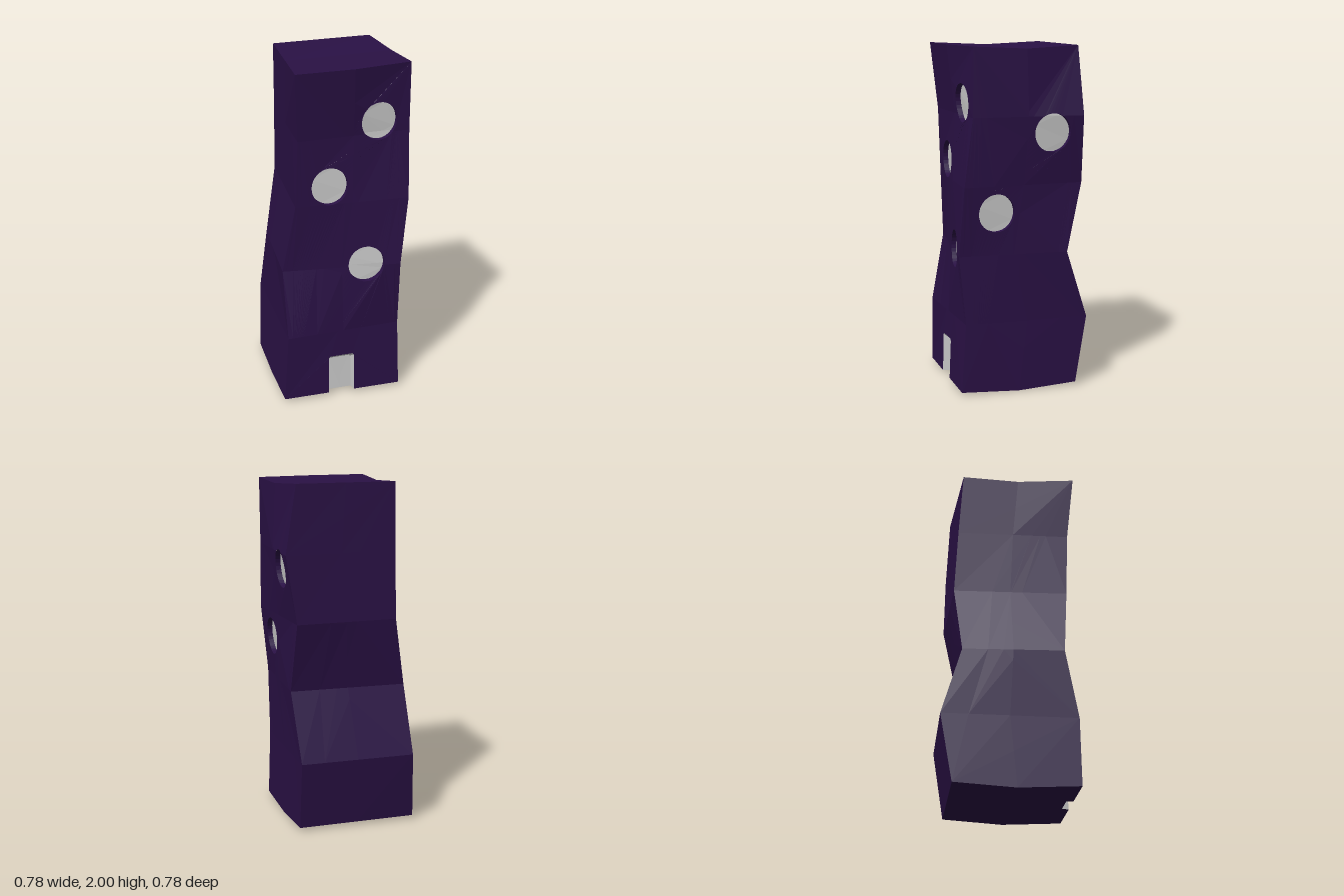
import * as THREE from 'three';

const PURPLE = 0x2a1145, GREY = 0xcccccc;

// Crooked cross-sections: height, then [x, z] of front left, front right, back right, back left as seen from the front
const LEVELS = [
  { y: 0.02, c: [[-0.39, 0.38], [0.315, 0.375], [0.315, -0.32], [-0.383, -0.32]] },
  { y: 0.42, c: [[-0.365, 0.38], [0.31, 0.347], [0.32, -0.382], [-0.355, -0.388]] },
  { y: 0.82, c: [[-0.375, 0.305], [0.308, 0.385], [0.345, -0.25], [-0.335, -0.272]] },
  { y: 1.22, c: [[-0.303, 0.335], [0.355, 0.363], [0.33, -0.338], [-0.265, -0.32]] },
  { y: 1.61, c: [[-0.29, 0.35], [0.365, 0.315], [0.39, -0.328], [-0.265, -0.3]] },
  { y: 2.0, c: [[-0.31, 0.39], [0.37, 0.31], [0.325, -0.312], [-0.27, -0.275]] },
];
const INWARD = [[0, -1], [-1, 0], [0, 1], [1, 0]];
const BULGE = [0.025, 0.012, 0, -0.01]; // how far the middle of each wall bows out at the top
const lerp = THREE.MathUtils.lerp;

// Corner k of the tower at height y
function corner(k, y) {
  let i = 0;
  while (i < LEVELS.length - 2 && y > LEVELS[i + 1].y) i++;
  const a = LEVELS[i], b = LEVELS[i + 1], t = (y - a.y) / (b.y - a.y);
  return [0, 1].map(j => lerp(a.c[k][j], b.c[k][j], t));
}

// Point on wall f: u runs 0..1 across it, depth goes into the tower
function wallPoint(f, [u, y], depth = 0) {
  const a = corner(f, y), b = corner((f + 1) % 4, y);
  const mid = 1 - Math.abs(2 * u - 1);
  const top = Math.max(0, (y - 1.61) / 0.39), bottom = Math.max(0, (0.42 - y) / 0.4);
  const push = depth - BULGE[f] * mid * top;
  const sag = f % 2 ? mid * (0.015 * top + 0.02 * bottom) : 0;
  return [lerp(a[0], b[0], u) + INWARD[f][0] * push, y - sag, lerp(a[1], b[1], u) + INWARD[f][1] * push];
}

// World x (front) or z (right side) to wall coordinates
function toWall(f, s, y) {
  const a = corner(f, y)[f % 2], b = corner((f + 1) % 4, y)[f % 2];
  return [(s - a) / (b - a), y];
}

// Counter-clockwise triangles filling a 2D outline with holes
function fill(outline, holes = []) {
  const v = p => new THREE.Vector2(p[0], p[1]);
  const all = [outline, ...holes].flat();
  return THREE.ShapeUtils.triangulateShape(outline.map(v), holes.map(h => h.map(v))).map(t => {
    const [a, b, c] = t.map(i => all[i]);
    const area = (b[0] - a[0]) * (c[1] - a[1]) - (b[1] - a[1]) * (c[0] - a[0]);
    return area < 0 ? [a, c, b] : [a, b, c];
  });
}

// Cut triangles along a line where coordinate "axis" equals value
function split(tris, axis, value) {
  const out = [];
  for (const tri of tris) for (const sign of [1, -1]) {
    const poly = [];
    tri.forEach((p, i) => {
      const q = tri[(i + 1) % 3], dp = (p[axis] - value) * sign, dq = (q[axis] - value) * sign;
      if (dp >= 0) poly.push(p);
      if (dp * dq < 0) {
        const t = dp / (dp - dq);
        poly.push([lerp(p[0], q[0], t), lerp(p[1], q[1], t)]);
      }
    });
    const flat = poly.every(p => Math.abs(p[axis] - value) < 1e-9);
    if (!flat) for (let i = 1; i < poly.length - 1; i++) out.push([poly[0], poly[i], poly[i + 1]]);
  }
  return out;
}

// Lay 2D triangles onto a wall, folded along the levels and the middle
function onWall(f, tris, depth = 0) {
  for (const l of LEVELS.slice(1, -1)) tris = split(tris, 1, l.y);
  return split(tris, 0, 0.5).map(t => t.map(p => wallPoint(f, p, depth)));
}

// Strip from an opening's rim back to an inner rim
function reveal(f, rim, inner, depth, closed) {
  const tris = [];
  for (let i = 0; i < rim.length - (closed ? 0 : 1); i++) {
    const j = (i + 1) % rim.length;
    const a = wallPoint(f, rim[i]), b = wallPoint(f, rim[j]);
    const A = wallPoint(f, inner[i], depth), B = wallPoint(f, inner[j], depth);
    tris.push([a, b, A], [b, B, A]);
  }
  return tris;
}

// Cap of 3D points seen from above (or below)
function cap(points, up) {
  const s = up ? -1 : 1;
  return fill(points.map(p => [p[0], p[2] * s, p])).map(t => t.map(p => p[2]));
}

function mesh(name, tris, color) {
  const geo = new THREE.BufferGeometry();
  geo.setAttribute('position', new THREE.Float32BufferAttribute(tris.flat(2), 3));
  geo.computeVertexNormals();
  const m = new THREE.Mesh(geo, new THREE.MeshStandardMaterial({ color, flatShading: true }));
  m.name = name;
  return m;
}

export function createModel() {
  const model = new THREE.Group();
  model.name = 'crookedTower';

  // Round windows: wall, position along the wall, height
  const windows = [[0, 0.185, 1.68], [0, -0.105, 1.325], [0, 0.11, 0.83], [1, -0.15, 1.515], [1, 0.17, 1.065]];
  const holes = [[], [], [], []];
  for (const [f, s, y] of windows) {
    const loop = [];
    for (let i = 0; i < 32; i++) {
      const a = i / 32 * Math.PI * 2;
      loop.push(toWall(f, s + Math.cos(a) * 0.105 * (f ? -1 : 1), y + Math.sin(a) * 0.11));
    }
    holes[f].push(loop);
  }

  // Doorway rim and the smaller door panel behind it
  const onFront = ([x, y]) => toWall(0, x, y);
  const rim = [[0.035, 0.02], [0.035, 0.25], [0.025, 0.26], [-0.11, 0.26], [-0.12, 0.25], [-0.12, 0.02]].map(onFront);
  const panel = [[0.025, 0.02], [0.025, 0.222], [0.015, 0.23], [-0.1, 0.23], [-0.11, 0.222], [-0.11, 0.02]].map(onFront);
  const doorDepth = 0.04;

  // Four walls with openings
  ['frontWall', 'rightWall', 'backWall', 'leftWall'].forEach((name, f) => {
    const notch = f === 0 ? [...rim].reverse() : [];
    const outline = [[0, 0.02], ...notch, [1, 0.02], [1, 2], [0, 2]];
    const tris = onWall(f, fill(outline, holes[f]));
    for (const h of holes[f]) tris.push(...reveal(f, h, h, 0.03, true));
    model.add(mesh(name, tris, PURPLE));
    for (const h of holes[f]) model.add(mesh('window', onWall(f, fill(h), 0.03), GREY));
  });

  // Door
  model.add(mesh('door', [...onWall(0, fill(panel), doorDepth), ...reveal(0, rim, panel, doorDepth, false)], GREY));

  // Sagging roof and base, each folded across the middle
  for (const [name, y, up] of [['roof', 2, true], ['base', 0.02, false]]) {
    const w = (f, u) => wallPoint(f, [u, y]);
    const L = w(3, 0.5), R = w(1, 0.5);
    const front = up ? [w(0, 0.5)] : [
      wallPoint(0, rim[5]), wallPoint(0, panel[5], doorDepth), wallPoint(0, panel[0], doorDepth), wallPoint(0, rim[0]),
    ];
    const tris = [
      ...cap([w(0, 0), ...front, w(0, 1), R, L], up),
      ...cap([L, R, w(2, 0), w(2, 1)], up),
    ];
    model.add(mesh(name, tris, PURPLE));
  }
  return model;
}
